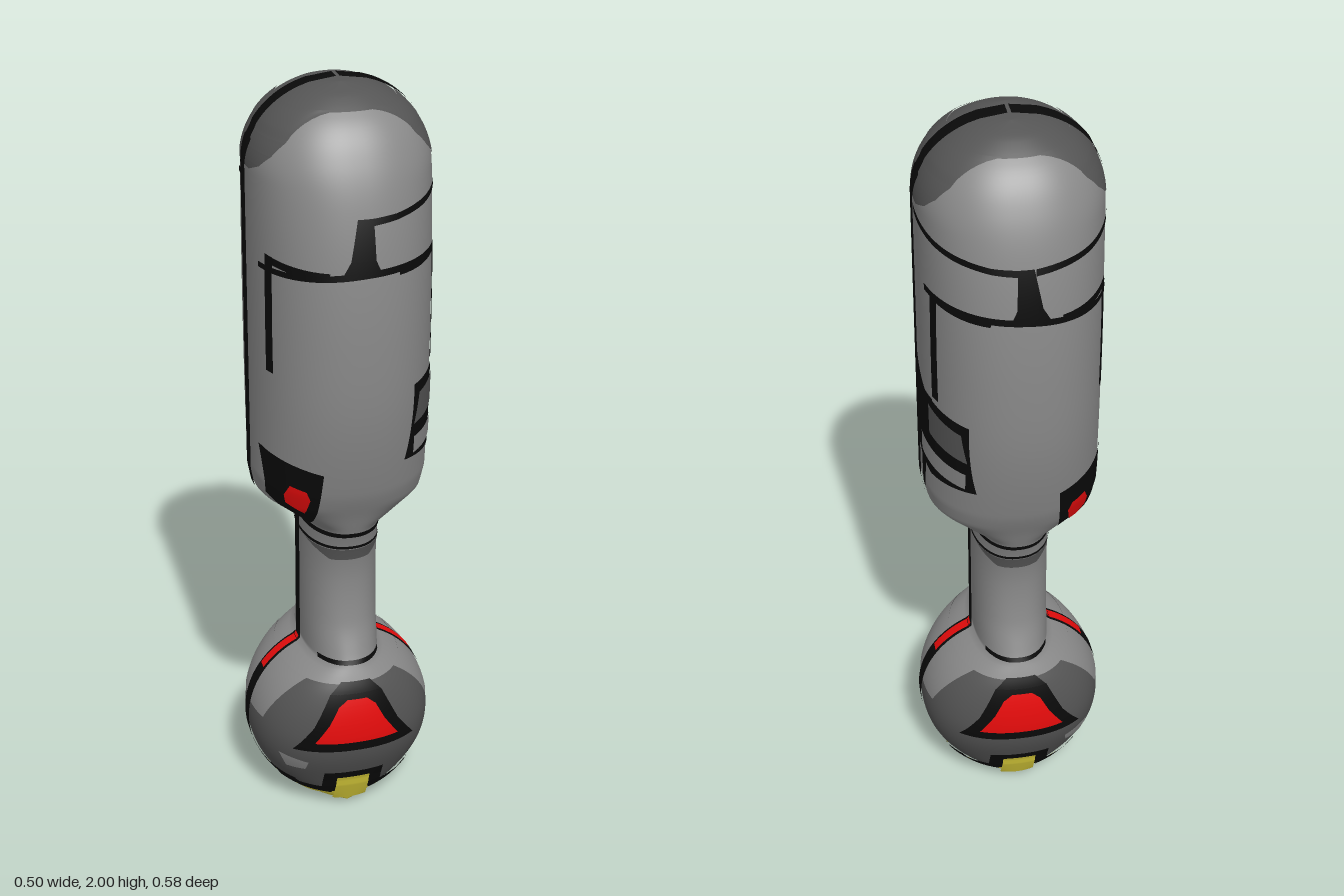
import * as THREE from 'three';

const mat = (name, color) => {
  const m = new THREE.MeshStandardMaterial({ color });
  m.name = name;
  return m;
};

// Half depth (z) along the height; half width (x) follows ball, neck, body and dome
const DEPTH = [[0, .13], [.1, .18], [.2, .225], [.28, .238], [.4, .222], [.5, .18], [.58, .154],
  [.7, .145], [.8, .16], [.9, .195], [1, .235], [1.2, .277], [1.4, .29], [1.6, .284],
  [1.75, .262], [1.85, .23], [1.93, .18], [1.98, .11], [2, .05]];
const SHOULDER = [[.865, .1], [.9, .155], [.945, .215], [1, .225], [1.8, .225]];

function sample(table, y, smooth) {
  let i = 0;
  while (i < table.length - 2 && y > table[i + 1][0]) i++;
  const [y0, v0] = table[i], [y1, v1] = table[i + 1];
  const h = y1 - y0, t = (y - y0) / h;
  if (!smooth) return v0 + (v1 - v0) * t;
  const slope = k => {
    const a = table[Math.max(k - 1, 0)], b = table[Math.min(k + 1, table.length - 1)];
    return (b[1] - a[1]) / (b[0] - a[0]) * h;
  };
  const t2 = t * t, t3 = t2 * t;
  return (2 * t3 - 3 * t2 + 1) * v0 + (t3 - 2 * t2 + t) * slope(i)
    + (3 * t2 - 2 * t3) * v1 + (t3 - t2) * slope(i + 1);
}
const halfDepth = y => sample(DEPTH, y, true);
function halfWidth(y) {
  if (y < .6) {
    const ball = Math.sqrt(Math.max(0, .245 ** 2 - (y - .245) ** 2));
    return y < .4 ? ball : Math.max(.1, ball);
  }
  if (y < .865) return .1;
  if (y < 1.8) return sample(SHOULDER, y, false);
  return .225 * Math.sqrt(Math.max(0, 1 - ((y - 1.8) / .2) ** 2));
}

// Slightly squared ellipse cross-section
const POW = 2.25;
const bend = v => Math.sign(v) * Math.abs(v) ** (2 / POW);
const rest = v => Math.max(0, 1 - Math.min(1, Math.abs(v)) ** POW) ** (1 / POW);

function makeGeometry(points, index) {
  const g = new THREE.BufferGeometry();
  g.setAttribute('position', new THREE.Float32BufferAttribute(points, 3));
  g.setIndex(index);
  g.computeVertexNormals();
  return g;
}

// Closed band of the body from y0 to y1; ease packs rows toward a rounded end
function band(y0, y1, rows, ease = t => t, off = 0) {
  const N = 112, pts = [], idx = [];
  for (let j = 0; j <= rows; j++) {
    const y = y0 + (y1 - y0) * ease(j / rows);
    for (let i = 0; i < N; i++) {
      const a = i / N * Math.PI * 2;
      pts.push((halfWidth(y) + off) * bend(Math.cos(a)), y, (halfDepth(y) + off) * bend(Math.sin(a)));
      if (j < rows) {
        const p = j * N + i, q = j * N + (i + 1) % N;
        idx.push(p, p + N, q + N, p, q + N, q);
      }
    }
  }
  return makeGeometry(pts, idx);
}

// Thin four-cornered plate wrapped on the body. Corners are [x, y] for front/back
// (axis 'z') or [z, y] for the flanks (axis 'x'); side is +1 or -1.
function plate(axis, side, corners, layer) {
  const [A, B, C, D] = corners.map(c => new THREE.Vector2(...c));
  const steps = (p, q, r, s) => Math.max(2, Math.ceil(Math.max(p.distanceTo(q), r.distanceTo(s)) / .009));
  const nu = steps(A, B, D, C), nv = steps(A, D, B, C), off = .0022 * layer;
  const pts = [], idx = [];
  const flip = THREE.ShapeUtils.isClockWise([A, B, C, D]) !== (axis === 'z' ? side < 0 : side > 0);
  for (let j = 0; j <= nv; j++) for (let i = 0; i <= nu; i++) {
    const p = A.clone().lerp(B, i / nu).lerp(D.clone().lerp(C, i / nu), j / nv);
    const y = p.y, w = Math.max(halfWidth(y), 1e-4), d = halfDepth(y);
    const r = THREE.MathUtils.clamp(p.x / (axis === 'z' ? w : d), -1, 1);
    const x = axis === 'z' ? r * w : side * w * rest(r);
    const z = axis === 'z' ? side * d * rest(r) : r * d;
    const n = new THREE.Vector2(x / w / w, z / d / d).normalize();
    const lift = y > 1.9 ? off : y < .1 ? -off : 0;
    pts.push(x + n.x * off, Math.max(0, y + lift), z + n.y * off);
    if (i < nu && j < nv) {
      const a = j * (nu + 1) + i, b = a + 1, c = b + nu + 1, e = a + nu + 1;
      if (flip) idx.push(a, c, b, a, e, c);
      else idx.push(a, b, c, a, c, e);
    }
  }
  return makeGeometry(pts, idx);
}

export function createModel() {
  const light = mat('light grey', 0x8a8a8a), dark = mat('dark grey', 0x555555);
  const black = mat('black', 0x0a0a0a), red = mat('red', 0xf20d0d), yellow = mat('yellow', 0xdfd23c);
  const model = new THREE.Group();
  model.name = 'roundHandle';
  const add = (name, geometry, material) => {
    const m = new THREE.Mesh(geometry, material);
    m.name = name;
    model.add(m);
  };
  const box = (u0, u1, y0, y1) => [[u0, y0], [u1, y0], [u1, y1], [u0, y1]];
  const mirror = c => c.map(([u, y]) => [-u, y]);
  // Plates on both front and back
  const faces = (name, m, c, layer = 1) => [1, -1].forEach(s => add(name, plate('z', s, c, layer), m));
  // Plates on a flank, repeated toward front and back
  const flank = (name, m, side, c, layer = 1) =>
    [c, mirror(c)].forEach(k => add(name, plate('x', side, k, layer), m));

  // Body shell
  add('ballBottom', band(0, .05, 14, t => t * t), yellow);
  add('ball', band(.05, .43, 40), dark);
  add('neckAndBody', band(.43, 1.955, 150), light);
  add('domeTop', band(1.955, 2, 14, t => 1 - (1 - t) ** 2), dark);

  // Collar rings
  add('collarRing', band(.848, .862, 3, undefined, .003), black);
  add('collarRing', band(.808, .817, 2, undefined, .003), black);
  faces('collarShade', dark, [[-.05, .772], [.05, .772], [.097, .805], [-.097, .805]]);
  faces('neckFootLine', black, box(-.08, .08, .474, .486));

  // Dark dome side outline, from the lower tip upward: [half depth, height]
  const dome = [[.05, 1.805], [.1, 1.825], [.13, 1.855], [.145, 1.89], [.145, 1.957]];
  for (const s of [1, -1]) {
    for (let i = 0; i < dome.length - 1; i++) {
      const [z0, y0] = dome[i], [z1, y1] = dome[i + 1];
      add('domeSide', plate('x', s, [[-z0, y0], [z0, y0], [z1, y1], [-z1, y1]], 1), dark);
    }
    // Light ball shoulder, long side seam and red seam mark
    add('ballShoulder', plate('x', s, [[-.1, .29], [.1, .29], [.155, .432], [-.155, .432]], 1), light);
    add('sideSeam', plate('x', s, box(-.022, .022, .14, 2), 2), black);
    add('seamMark', plate('x', s, box(-.014, .014, .39, .475), 3), red);
    flank('seamFlare', black, s, [[0, 1.81], [.022, 1.81], [.031, 1.87], [0, 1.88]], 2);
    // Yellow side peaks with a black rim
    flank('basePeak', yellow, s, [[0, .045], [.145, .045], [.12, .085], [0, .145]]);
    flank('basePeakRim', black, s, [[.05, .12], [.123, .078], [.135, .103], [.05, .152]], 2);
    flank('basePeakRim', black, s, [[0, .142], [.05, .12], [.05, .152], [0, .2]], 2);
    // Stripe elbow running down beside the seam
    flank('elbowStripe', black, s, box(.132, .16, 1.32, 1.62));
    flank('elbowStripe', black, s, [[.132, 1.603], [.27, 1.59], [.27, 1.608], [.132, 1.622]]);
  }

  // Ball badge
  faces('badgeFrame', black, [[-.165, .235], [.165, .235], [.11, .315], [-.11, .315]]);
  faces('badgeFrame', black, [[-.112, .313], [.112, .313], [.068, .405], [-.068, .405]]);
  faces('badgeFrame', black, [[-.068, .404], [.068, .404], [.038, .436], [-.038, .436]]);
  faces('badge', red, [[-.112, .264], [.112, .264], [.075, .32], [-.075, .32]], 2);
  faces('badge', red, [[-.075, .319], [.075, .319], [.048, .373], [-.048, .373]], 2);
  faces('badge', red, [[-.048, .372], [.048, .372], [.026, .391], [-.026, .391]], 2);
  faces('ballSpot', light, [[-.175, .16], [-.13, .16], [-.125, .19], [-.195, .208]]);

  // Base tab with black rim
  faces('baseTabRim', black, box(-.08, .08, .06, .146), 2);
  faces('baseTab', yellow, box(-.044, .044, .03, .122), 3);
  for (const s of [1, -1]) {
    faces('baseFill', yellow, [[s * .04, .045], [s * .135, .047], [s * .133, .08], [s * .04, .062]]);
    faces('baseRim', black, [[s * .05, .054], [s * .133, .075], [s * .145, .1], [s * .05, .08]], 2);
  }

  // Upper band lines and notch
  faces('waistLine', black, [[-.215, 1.578], [0, 1.593], [0, 1.61], [-.215, 1.592]]);
  faces('waistLine', black, [[0, 1.593], [.215, 1.605], [.215, 1.622], [0, 1.61]]);
  faces('notch', black, [[-.055, 1.6], [.04, 1.6], [.025, 1.635], [-.035, 1.635]]);
  faces('notch', black, [[-.035, 1.634], [.025, 1.634], [.022, 1.733], [-.016, 1.733]]);
  faces('chestLine', black, [[.02, 1.716], [.08, 1.722], [.08, 1.737], [.02, 1.733]]);
  faces('chestLine', black, [[.08, 1.722], [.14, 1.732], [.14, 1.747], [.08, 1.737]]);
  const sideLine = [[.02, 1.77], [.225, 1.731], [.225, 1.746], [.02, 1.785]];
  flank('chestLine', black, 1, sideLine);
  add('chestLine', plate('x', -1, mirror(sideLine), 1), black);
  add('chestLine', plate('z', -1, [[-.02, 1.716], [-.14, 1.732], [-.14, 1.747], [-.02, 1.733]], 1), black);

  // Control panel on the left flank
  flank('panelFrame', black, 1, [[0, 1.15], [.13, 1.14], [.13, 1.31], [0, 1.31]]);
  flank('panelFrame', black, 1, [[0, 1.3], [.1, 1.3], [.03, 1.345], [0, 1.38]]);
  flank('panelFrame', black, 1, [[.1, 1.068], [.228, 1.08], [.242, 1.29], [.1, 1.31]]);
  flank('panelFrame', black, 1, [[0, 1.1], [.11, 1.067], [.11, 1.15], [0, 1.16]]);
  flank('upperButton', dark, 1, [[.112, 1.2], [.23, 1.178], [.226, 1.262], [.112, 1.286]], 2);
  flank('lowerButton', light, 1, [[.05, 1.11], [.213, 1.09], [.222, 1.14], [.05, 1.165]], 2);
  flank('panelLeg', black, 1, [[.04, .985], [.053, .985], [.075, 1.09], [.036, 1.1]]);

  // Small lamp on the right, front and back
  faces('lampPlate', black, [[-.205, .965], [-.1, .885], [-.09, 1.065], [-.218, 1.1]]);
  faces('lamp', red, [[-.168, .963], [-.124, .936], [-.116, .985], [-.173, .99]], 2);
  faces('lamp', red, [[-.173, .989], [-.116, .984], [-.126, 1.01], [-.162, 1.021]], 2);

  return model;
}
